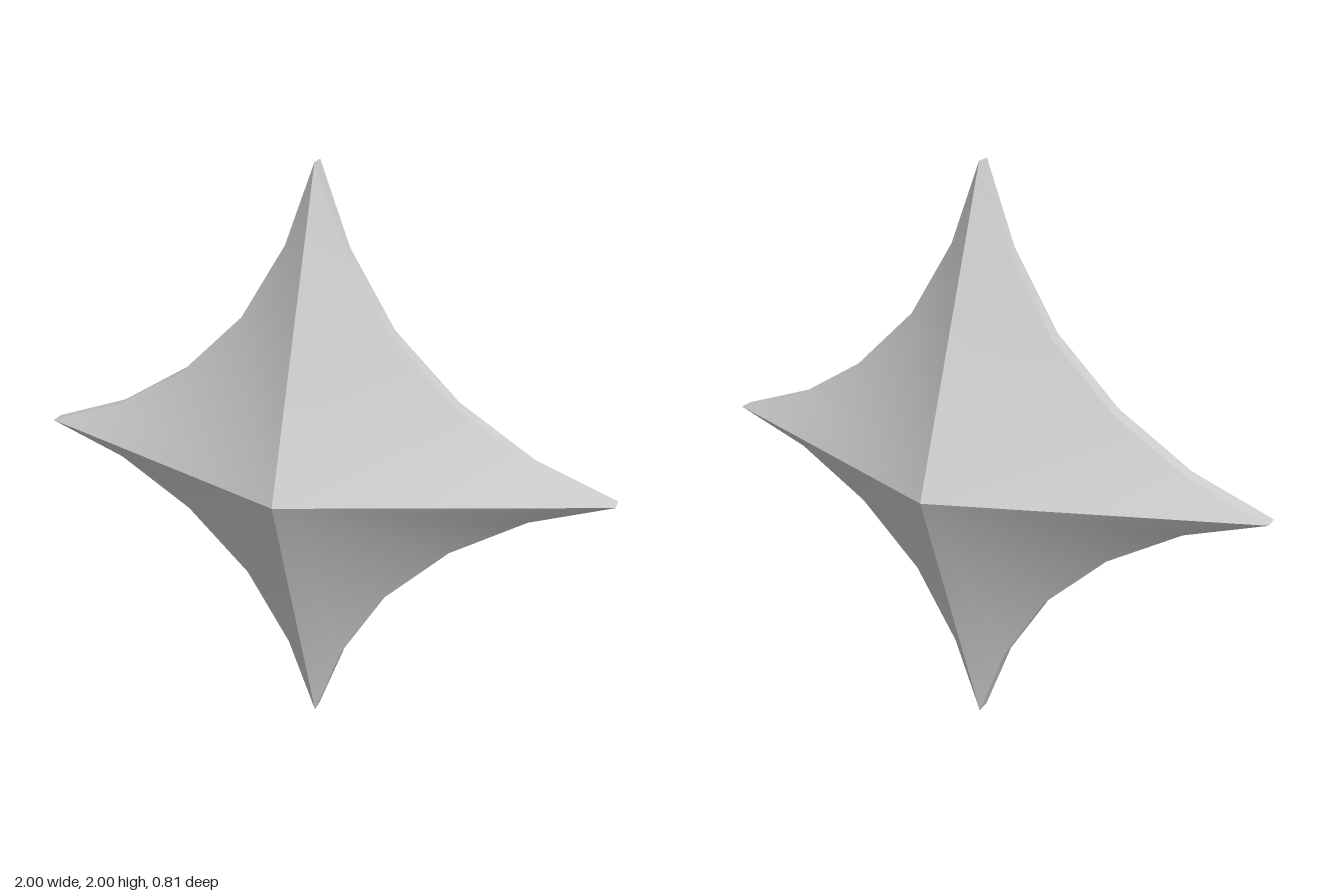
import * as THREE from 'three';
import { mergeGeometries } from 'three/addons/utils/BufferGeometryUtils.js';

// Concave outline of one quadrant, from the top point to the side point
const ARC = [[0, 1], [0.1, 0.73], [0.255, 0.475], [0.475, 0.26], [0.73, 0.1], [1, 0]];
const RIM = 0.025;  // half thickness at the rim
const APEX = 0.405; // half thickness at the centre

// Smooth-shaded surface; mirrored copies get their corner order reversed
function surface(points, triangles, mirrored) {
  const g = new THREE.BufferGeometry();
  g.setAttribute('position', new THREE.Float32BufferAttribute(points.flat(), 3));
  g.setIndex(triangles.flatMap(([a, b, c]) => (mirrored ? [a, c, b] : [a, b, c])));
  g.computeVertexNormals();
  return g;
}

// Fan from the centre apex to a quarter of the outline
function facet(sx, sy, sz) {
  const points = [[0, 0, sz * APEX], ...ARC.map(([x, y]) => [sx * x, sy * y, sz * RIM])];
  const triangles = ARC.slice(1).map((_, i) => [0, i + 2, i + 1]);
  return surface(points, triangles, sx * sy * sz < 0);
}

// Narrow band joining the front and back facets of a quarter
function band(sx, sy) {
  const points = ARC.flatMap(([x, y]) => [[sx * x, sy * y, RIM], [sx * x, sy * y, -RIM]]);
  const triangles = ARC.slice(1).flatMap((_, i) => {
    const k = 2 * i;
    return [[k, k + 2, k + 3], [k, k + 3, k + 1]];
  });
  return surface(points, triangles, sx * sy < 0);
}

export function createModel() {
  const group = new THREE.Group();
  group.name = 'fourPointStar';
  const material = new THREE.MeshStandardMaterial({ color: 0xcccccc });
  const front = [], back = [], rim = [];
  for (const sx of [1, -1]) {
    for (const sy of [1, -1]) {
      front.push(facet(sx, sy, 1));
      back.push(facet(sx, sy, -1));
      rim.push(band(sx, sy));
    }
  }
  const parts = { frontFacets: front, backFacets: back, rim };
  for (const [name, pieces] of Object.entries(parts)) {
    const mesh = new THREE.Mesh(mergeGeometries(pieces), material);
    mesh.name = name;
    mesh.position.y = 1;
    group.add(mesh);
  }
  return group;
}
